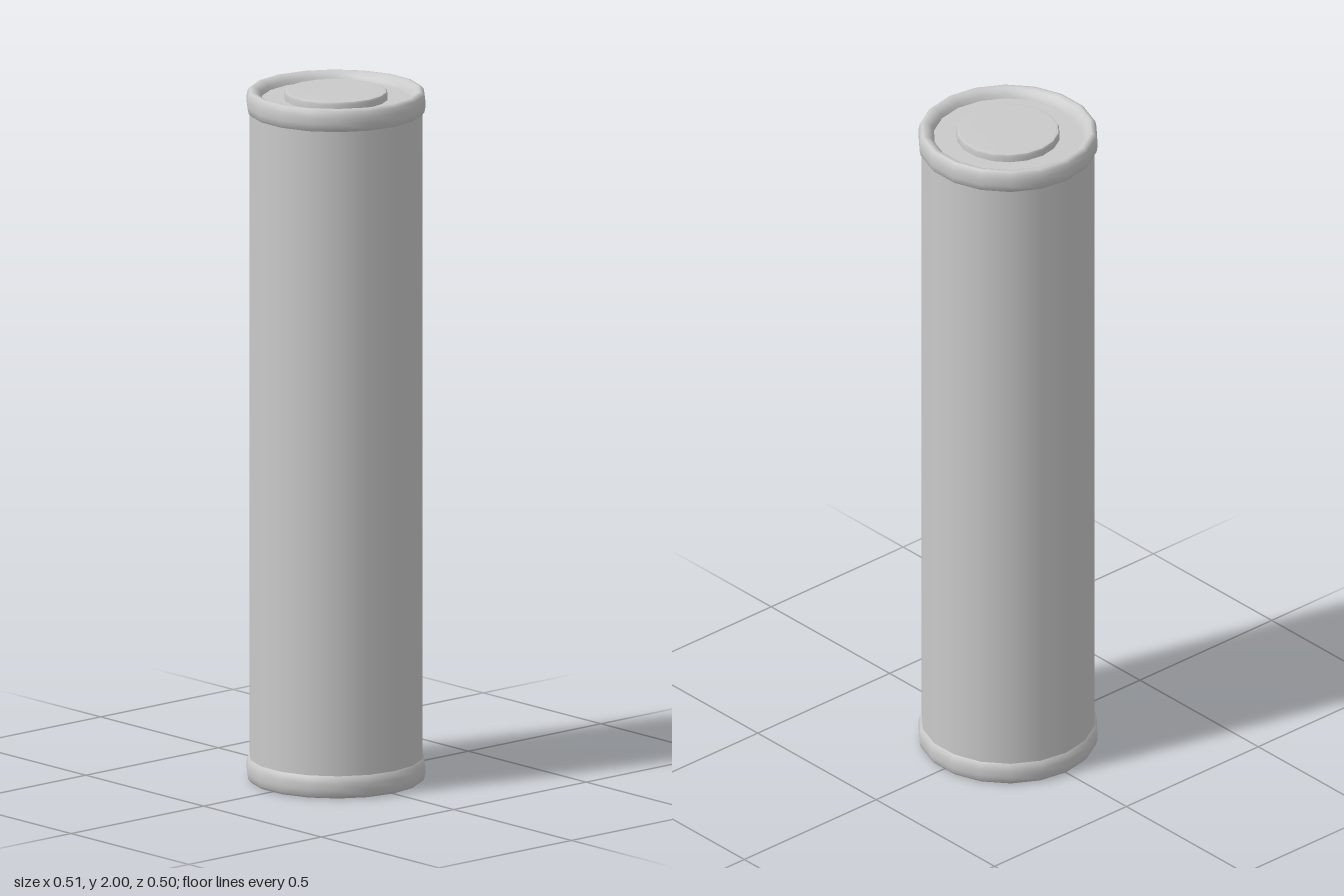
import * as THREE from 'three';

const SIDES = 18;

export function createModel() {
  const group = new THREE.Group();
  const metal = new THREE.MeshStandardMaterial({ color: 0xcacaca });
  metal.name = 'grey metal';

  // Revolve a profile, listed from bottom to top on the outside, with a corner on the x axis
  const turn = (name, profile) => {
    const points = profile.map(([r, y]) => new THREE.Vector2(r, y));
    const mesh = new THREE.Mesh(new THREE.LatheGeometry(points, SIDES, Math.PI / 2), metal);
    mesh.name = name;
    group.add(mesh);
  };

  // Straight casing
  turn('casing', [[0.246, 0.05], [0.246, 1.95]]);

  // Rolled rims, the bottom one mirrored from the top
  const rim = [
    [0.244, 1.932], [0.252, 1.942], [0.255, 1.957], [0.255, 1.975], [0.252, 1.991],
    [0.245, 1.999], [0.237, 2], [0.226, 1.995], [0.216, 1.986], [0.21, 1.972],
  ];
  turn('topRim', rim);
  turn('bottomRim', rim.map(([r, y]) => [r, 2 - y]).reverse());

  // Recessed end plates
  turn('topPlate', [[0.212, 1.974], [0, 1.974]]);
  turn('bottomPlate', [[0, 0.026], [0.212, 0.026]]);

  // Raised contact with a softened edge
  turn('contactSide', [[0.147, 1.973], [0.147, 1.99], [0.144, 1.996]]);
  turn('contactTop', [[0.144, 1.996], [0.137, 1.998], [0, 1.998]]);

  return group;
}
